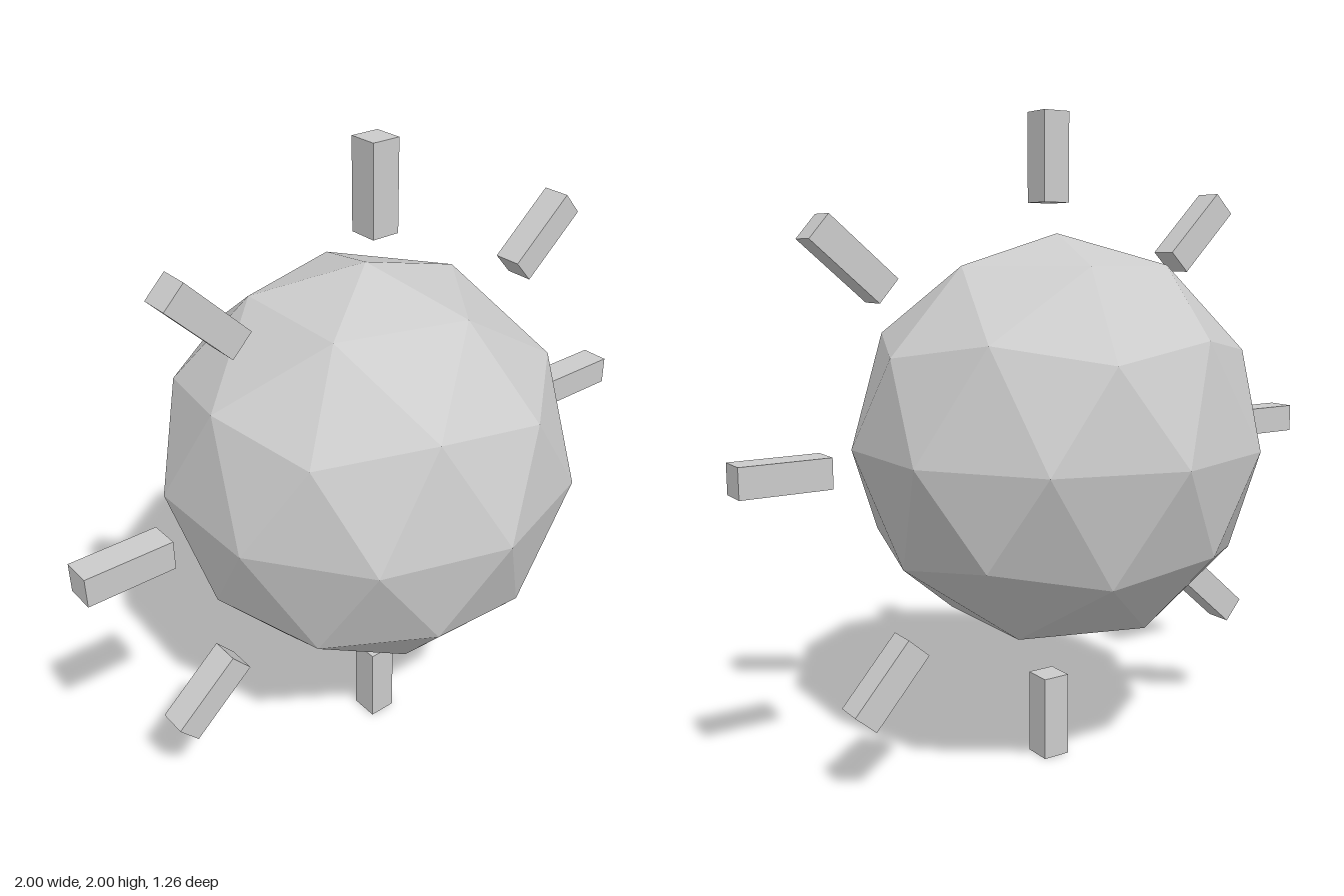
import * as THREE from 'three';

export function createModel() {
  const model = new THREE.Group();
  model.name = 'sun';
  const material = new THREE.MeshStandardMaterial({ color: 0xcccccc, flatShading: true });

  // Faceted ball, turned so that one corner points straight up
  const ballGeometry = new THREE.IcosahedronGeometry(0.628, 1);
  ballGeometry.rotateZ(-Math.atan2(1, (1 + Math.sqrt(5)) / 2));
  const ball = new THREE.Mesh(ballGeometry, material);
  ball.name = 'ball';
  ball.position.set(-0.015, 1.018, -0.003);
  model.add(ball);

  // Loose square bars around the ball: x, y, tilt in degrees
  const rays = [
    ['rayTop', 0, 1.868, 90],
    ['rayUpperLeft', 0.655, 1.572, 41],
    ['rayLeft', 0.868, 0.998, 0],
    ['rayLowerLeft', 0.572, 0.356, -48.5],
    ['rayBottom', 0, 0.132, 90],
    ['rayLowerRight', -0.652, 0.439, 41],
    ['rayRight', -0.868, 1.013, 0],
    ['rayUpperRight', -0.572, 1.652, -45],
  ];
  const rayGeometry = new THREE.BoxGeometry(0.264, 0.088, 0.09);
  for (const [name, x, y, tilt] of rays) {
    const ray = new THREE.Mesh(rayGeometry, material);
    ray.name = name;
    ray.position.set(x, y, 0.02);
    ray.rotation.z = THREE.MathUtils.degToRad(tilt);
    model.add(ray);
  }
  return model;
}
